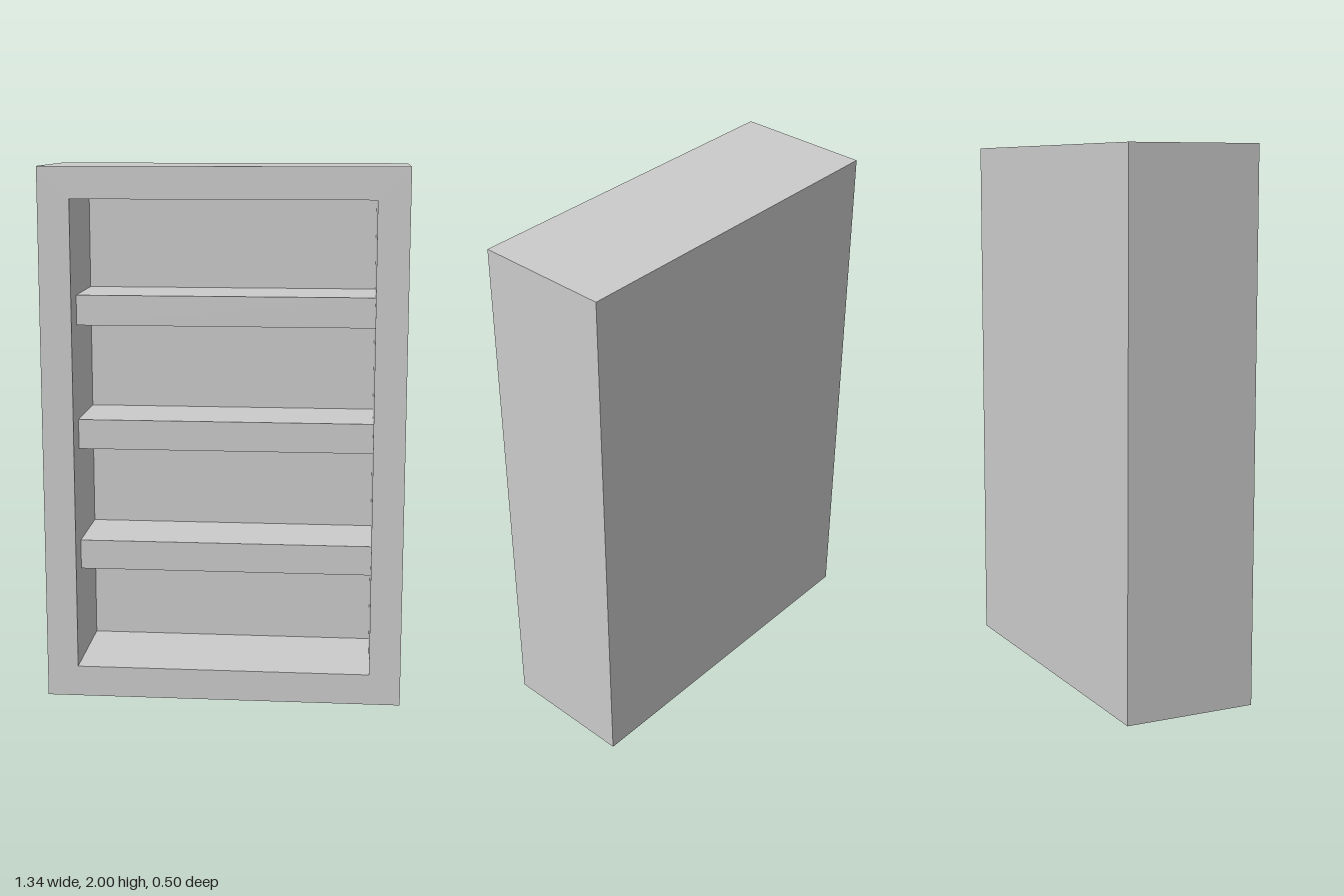
import * as THREE from 'three';

const WIDTH = 1.34, HEIGHT = 2, DEPTH = 0.5;
const WALL = 0.117, BACK = 0.085;
const SHELVES = 3, SHELF_THICKNESS = 0.112, SHELF_DEPTH = 0.31;

export function createModel() {
  const group = new THREE.Group();
  group.name = 'bookcase';
  const material = new THREE.MeshStandardMaterial({ color: 0xcccccc, flatShading: true });

  const add = (name, geometry, x, y, z) => {
    const mesh = new THREE.Mesh(geometry, material);
    mesh.name = name;
    mesh.position.set(x, y, z);
    group.add(mesh);
  };

  const rectangle = (PathType, w, h) => new PathType([
    new THREE.Vector2(-w / 2, -h / 2), new THREE.Vector2(w / 2, -h / 2),
    new THREE.Vector2(w / 2, h / 2), new THREE.Vector2(-w / 2, h / 2),
  ]);

  const innerWidth = WIDTH - 2 * WALL;
  const innerHeight = HEIGHT - 2 * WALL;
  const innerBackZ = -DEPTH / 2 + BACK;

  // Outer case: sides, top and bottom in one piece
  const outline = rectangle(THREE.Shape, WIDTH, HEIGHT);
  outline.holes.push(rectangle(THREE.Path, innerWidth, innerHeight));
  const frame = new THREE.ExtrudeGeometry(outline, { depth: DEPTH - BACK, bevelEnabled: false });
  add('caseFrame', frame, 0, HEIGHT / 2, innerBackZ);

  // Back panel closing the case
  add('backPanel', new THREE.BoxGeometry(WIDTH, HEIGHT, BACK), 0, HEIGHT / 2, -DEPTH / 2 + BACK / 2);

  // Evenly spaced shelves, set back from the front edge
  const gap = (innerHeight - SHELVES * SHELF_THICKNESS) / (SHELVES + 1);
  for (let i = 0; i < SHELVES; i++) {
    const y = WALL + gap + SHELF_THICKNESS / 2 + i * (gap + SHELF_THICKNESS);
    add(`shelf${i + 1}`, new THREE.BoxGeometry(innerWidth, SHELF_THICKNESS, SHELF_DEPTH),
      0, y, innerBackZ + SHELF_DEPTH / 2);
  }

  return group;
}
